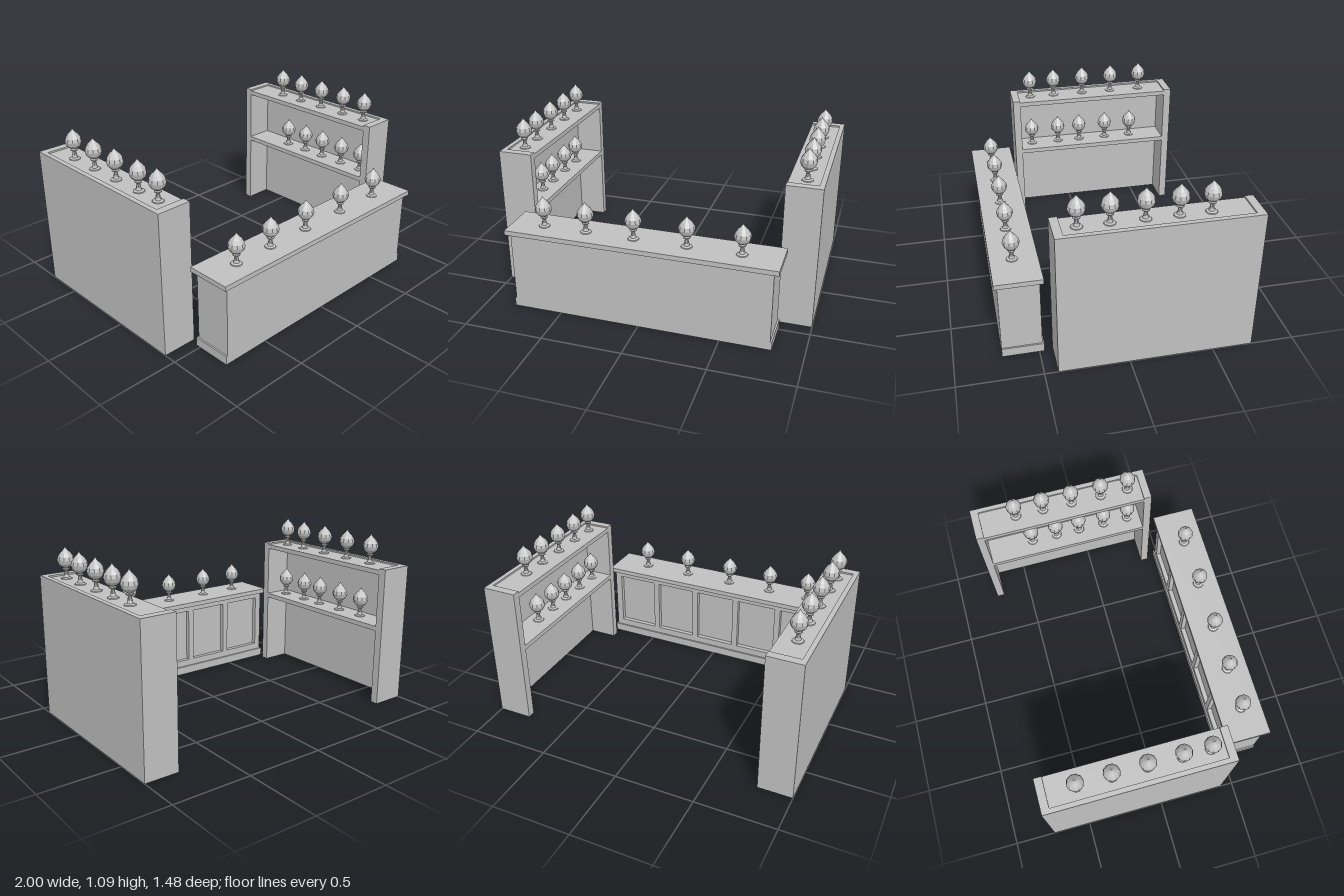
import * as THREE from 'three';

export function createModel() {
  const grey = new THREE.MeshStandardMaterial({ color: 0xc0c0c0 });
  grey.name = 'plain grey';
  const model = new THREE.Group();
  model.name = 'marketStall';

  const add = (parent, name, geometry) => {
    const mesh = new THREE.Mesh(geometry, grey);
    mesh.name = name;
    parent.add(mesh);
    return mesh;
  };
  // Box given by its minimum and maximum on each axis
  const box = (parent, name, x0, x1, y0, y1, z0, z1) => {
    const g = new THREE.BoxGeometry(x1 - x0, y1 - y0, z1 - z0);
    g.translate((x0 + x1) / 2, (y0 + y1) / 2, (z0 + z1) / 2);
    return add(parent, name, g);
  };

  // Pointed finial: flared foot, collar, faceted bulb
  const profile = [
    [0, 0], [0.035, 0], [0.033, 0.005], [0.018, 0.01], [0.014, 0.025], [0.01, 0.05],
    [0.022, 0.057], [0.022, 0.062], [0.012, 0.066], [0.03, 0.076], [0.044, 0.092],
    [0.051, 0.115], [0.046, 0.136], [0.033, 0.156], [0.016, 0.173], [0.007, 0.184], [0, 0.198],
  ].map(([r, y]) => new THREE.Vector2(r, y));
  const smooth = new THREE.LatheGeometry(profile, 10);
  const finialGeometry = smooth.toNonIndexed();
  finialGeometry.computeVertexNormals();
  const finial = (parent, x, y, z) => {
    add(parent, 'finial', finialGeometry).position.set(x, y, z);
  };

  // Front counter
  const counter = new THREE.Group();
  counter.name = 'counter';
  model.add(counter);
  const recess = 0.03;
  box(counter, 'counterBody', -0.8, 0.8, 0, 0.5, 0.48 + recess, 0.72);
  box(counter, 'counterPlinth', -0.81, 0.81, 0, 0.055, 0.47, 0.72);
  box(counter, 'counterTop', -0.83, 0.83, 0.5, 0.53, 0.46, 0.74);

  // Rear frame with five sunken panels
  const frame = new THREE.Shape([
    [-0.8, 0], [0.8, 0], [0.8, 0.5], [-0.8, 0.5],
  ].map(([x, y]) => new THREE.Vector2(x, y)));
  for (let i = 0; i < 5; i++) {
    const cx = (i - 2) * 0.31;
    frame.holes.push(new THREE.Path([
      [cx - 0.135, 0.1], [cx - 0.135, 0.465], [cx + 0.135, 0.465], [cx + 0.135, 0.1],
    ].map(([x, y]) => new THREE.Vector2(x, y))));
  }
  const frameGeometry = new THREE.ExtrudeGeometry(frame, { depth: recess, bevelEnabled: false });
  add(counter, 'panelFrame', frameGeometry).position.z = 0.48;
  [-0.625, -0.355, -0.055, 0.27, 0.595].forEach((x) => finial(counter, x, 0.53, 0.61));

  // Shelf units, open towards the middle
  const shelfUnit = (name, side, topZ, middleZ) => {
    const unit = new THREE.Group();
    unit.name = name;
    model.add(unit);
    const part = (label, a, b, y0, y1, z0, z1) =>
      box(unit, label, Math.min(a * side, b * side), Math.max(a * side, b * side), y0, y1, z0, z1);
    part('backPanel', 0.97, 1, 0, 0.9, -0.69, 0.37);
    part('rearEndPanel', 0.785, 1, 0, 0.9, -0.74, -0.69);
    part('frontEndPanel', 0.785, 1, 0, 0.9, 0.37, 0.42);
    part('topShelf', 0.785, 0.97, 0.86, 0.89, -0.69, 0.37);
    part('middleShelf', 0.785, 0.97, 0.49, 0.52, -0.69, 0.37);
    topZ.forEach((z) => finial(unit, 0.89 * side, 0.89, z));
    middleZ.forEach((z) => finial(unit, 0.89 * side, 0.52, z));
  };
  shelfUnit('leftShelfUnit', 1, [0.285, 0.105, -0.09, -0.28, -0.46], [0.285, 0.115, -0.06, -0.22, -0.39]);
  shelfUnit('rightShelfUnit', -1, [0.285, 0.115, -0.095, -0.305, -0.515], [0.285, 0.09, -0.07, -0.265, -0.455]);

  return model;
}
